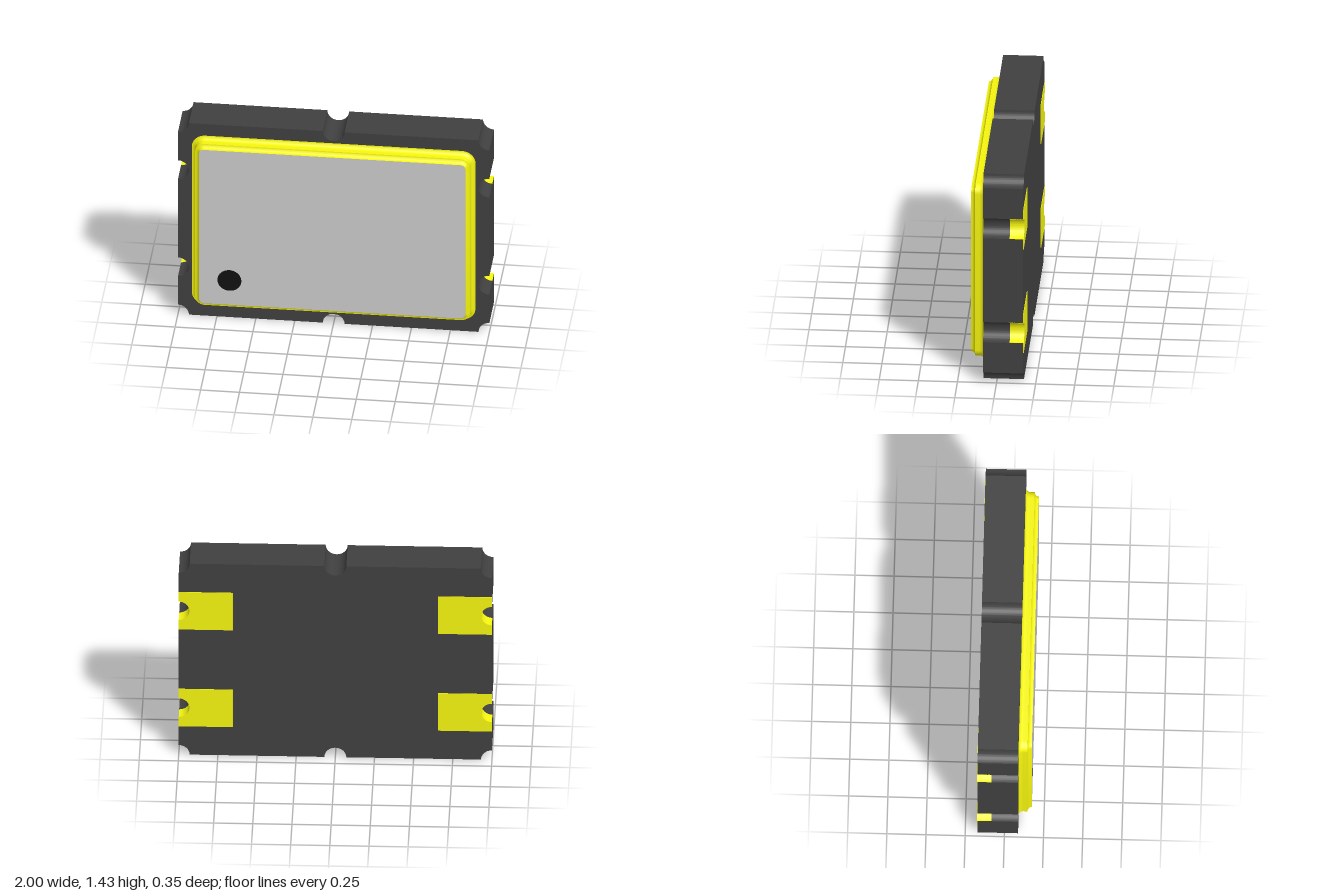
import * as THREE from 'three';
import { toCreasedNormals } from 'three/addons/utils/BufferGeometryUtils.js';

const H = 1.43, MID = H / 2, NOTCH = 0.07, PAD_Y = 0.3625;
const BACK = -0.171, BODY_FRONT = 0.088, LID_FRONT = 0.172;
const Q = Math.PI / 2;

const material = (color) => new THREE.MeshStandardMaterial({ color });

function extrude(shape, z0, z1) {
  const geo = new THREE.ExtrudeGeometry(shape, { depth: z1 - z0, bevelEnabled: false, curveSegments: 20 });
  geo.translate(0, 0, z0);
  return toCreasedNormals(geo, 0.5);
}

// Block outline with quarter notches at the corners and half notches on the edges
function bodyShape() {
  const s = new THREE.Shape();
  const notches = [
    [-1, -MID, Q, 0], [0, -MID, 2 * Q, 0],
    [1, -MID, 2 * Q, Q], [1, -PAD_Y, 3 * Q, Q], [1, PAD_Y, 3 * Q, Q],
    [1, MID, 3 * Q, 2 * Q], [0, MID, 4 * Q, 2 * Q],
    [-1, MID, 4 * Q, 3 * Q], [-1, PAD_Y, Q, -Q], [-1, -PAD_Y, Q, -Q],
  ];
  for (const [x, y, a0, a1] of notches) s.absarc(x, y, NOTCH, a0, a1, true);
  s.closePath();
  return s;
}

// Rounded rectangle running round the lid; r is the corner radius and the outward offset
function lidOutline(r, steps = 10) {
  const pts = [];
  const corners = [[1, 1], [-1, 1], [-1, -1], [1, -1]];
  corners.forEach(([sx, sy], c) => {
    for (let i = 0; i <= steps; i++) {
      const a = (c + i / steps) * Q;
      pts.push(new THREE.Vector2(sx * 0.825 + r * Math.cos(a), sy * 0.5425 + r * Math.sin(a)));
    }
  });
  return pts;
}

// Stepped rim: two concave fillets joined by a short straight wall
function rimGeometry() {
  const rings = [];
  for (const [r, z] of [[0.086, 0.115], [0.058, LID_FRONT]]) {
    for (let i = 0; i <= 8; i++) {
      const a = (i / 8) * Q;
      rings.push([r - 0.028 * Math.sin(a), z - 0.027 * Math.cos(a)]);
    }
  }
  const pos = [], index = [];
  const n = lidOutline(0.05).length;
  rings.forEach(([r, z], j) => {
    lidOutline(r).forEach((p, i) => {
      pos.push(p.x, p.y, z);
      if (j === 0) return;
      const k = (i + 1) % n, lo = (j - 1) * n, hi = j * n;
      index.push(lo + i, lo + k, hi + k, lo + i, hi + k, hi + i);
    });
  });
  const geo = new THREE.BufferGeometry();
  geo.setAttribute('position', new THREE.Float32BufferAttribute(pos, 3));
  geo.setIndex(index);
  return toCreasedNormals(geo, 0.6);
}

// Flat contact on the back, cut out round its notch
function padShape() {
  const s = new THREE.Shape();
  s.moveTo(0.655, -0.14);
  s.lineTo(1, -0.14);
  s.absarc(1, 0, 0.0685, 3 * Q, Q, true);
  s.lineTo(1, 0.14);
  s.lineTo(0.655, 0.14);
  s.closePath();
  return s;
}

// Thin half ring plating the notch wall
function platingShape() {
  const s = new THREE.Shape();
  s.absarc(1, 0, 0.0715, 3 * Q, Q, true);
  s.absarc(1, 0, 0.0685, Q, 3 * Q, false);
  s.closePath();
  return s;
}

export function createModel() {
  const model = new THREE.Group();
  model.name = 'surfaceMountPackage';
  const dark = material(0x404040), gold = material(0xf5f50f);
  const parts = new THREE.Group();
  parts.position.y = MID;
  model.add(parts);

  const add = (name, geo, mat, parent = parts) => {
    const mesh = new THREE.Mesh(geo, mat);
    mesh.name = name;
    parent.add(mesh);
    return mesh;
  };

  // Body and lid
  add('body', extrude(bodyShape(), BACK, BODY_FRONT), dark);
  add('lidRim', rimGeometry(), gold);
  add('lidPlate', new THREE.ShapeGeometry(new THREE.Shape(lidOutline(0.03))), material(0xcccccc)).position.z = LID_FRONT;

  // Orientation mark
  add('orientationDot', new THREE.CircleGeometry(0.077, 40), material(0x111111))
    .position.set(-0.66, 0.325 - MID, LID_FRONT + 0.001);

  // Four contacts: a back pad plus plating partway up the notch
  const padGeo = extrude(padShape(), BACK - 0.003, BACK + 0.001);
  const platingGeo = extrude(platingShape(), BACK - 0.003, -0.083);
  for (const side of [1, -1]) {
    for (const y of [PAD_Y, -PAD_Y]) {
      const contact = new THREE.Group();
      contact.name = `${side > 0 ? 'left' : 'right'}${y > 0 ? 'Upper' : 'Lower'}Contact`;
      contact.position.y = y;
      contact.rotation.z = side > 0 ? 0 : Math.PI;
      add('pad', padGeo, gold, contact);
      add('notchPlating', platingGeo, gold, contact);
      parts.add(contact);
    }
  }
  return model;
}
